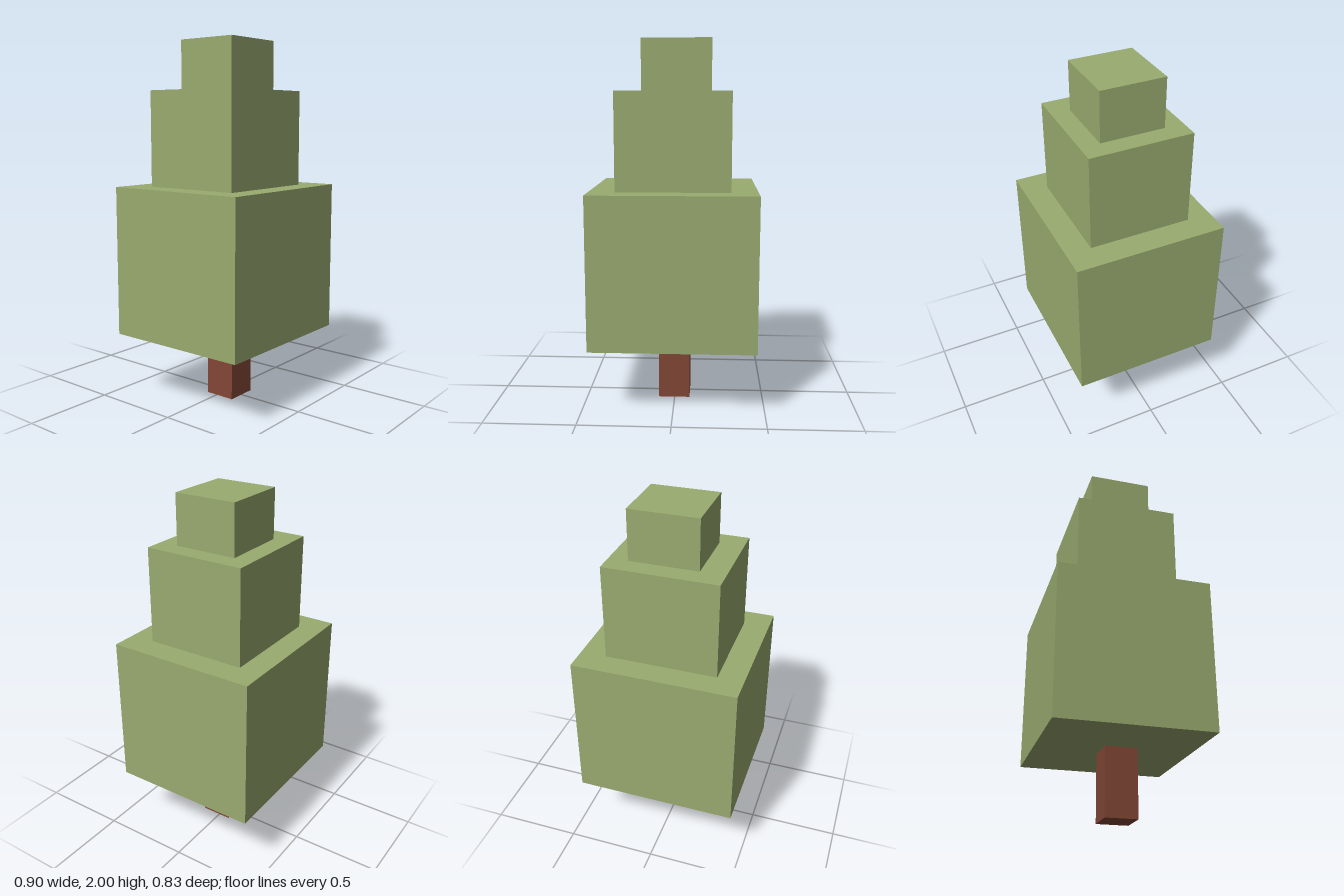
import * as THREE from 'three';

export function createModel() {
  const tree = new THREE.Group();
  tree.name = 'blockTree';

  const leafGreen = new THREE.MeshStandardMaterial({ color: 0x9aab70 });
  leafGreen.name = 'leafGreen';
  const barkBrown = new THREE.MeshStandardMaterial({ color: 0x824636 });
  barkBrown.name = 'barkBrown';

  // Box given by its extents along each axis
  function block(name, material, [x0, x1], [y0, y1], [z0, z1]) {
    const mesh = new THREE.Mesh(new THREE.BoxGeometry(x1 - x0, y1 - y0, z1 - z0), material);
    mesh.position.set((x0 + x1) / 2, (y0 + y1) / 2, (z0 + z1) / 2);
    mesh.name = name;
    tree.add(mesh);
  }

  // Trunk, set slightly towards the front
  block('trunk', barkBrown, [-0.09, 0.085], [0, 0.37], [-0.066, 0.11]);

  // Three stacked foliage tiers
  block('lowerFoliage', leafGreen, [-0.45, 0.448], [0.368, 1.202], [-0.418, 0.416]);
  block('middleFoliage', leafGreen, [-0.308, 0.305], [1.202, 1.727], [-0.283, 0.28]);
  block('topFoliage', leafGreen, [-0.174, 0.199], [1.727, 2], [-0.177, 0.174]);

  return tree;
}
